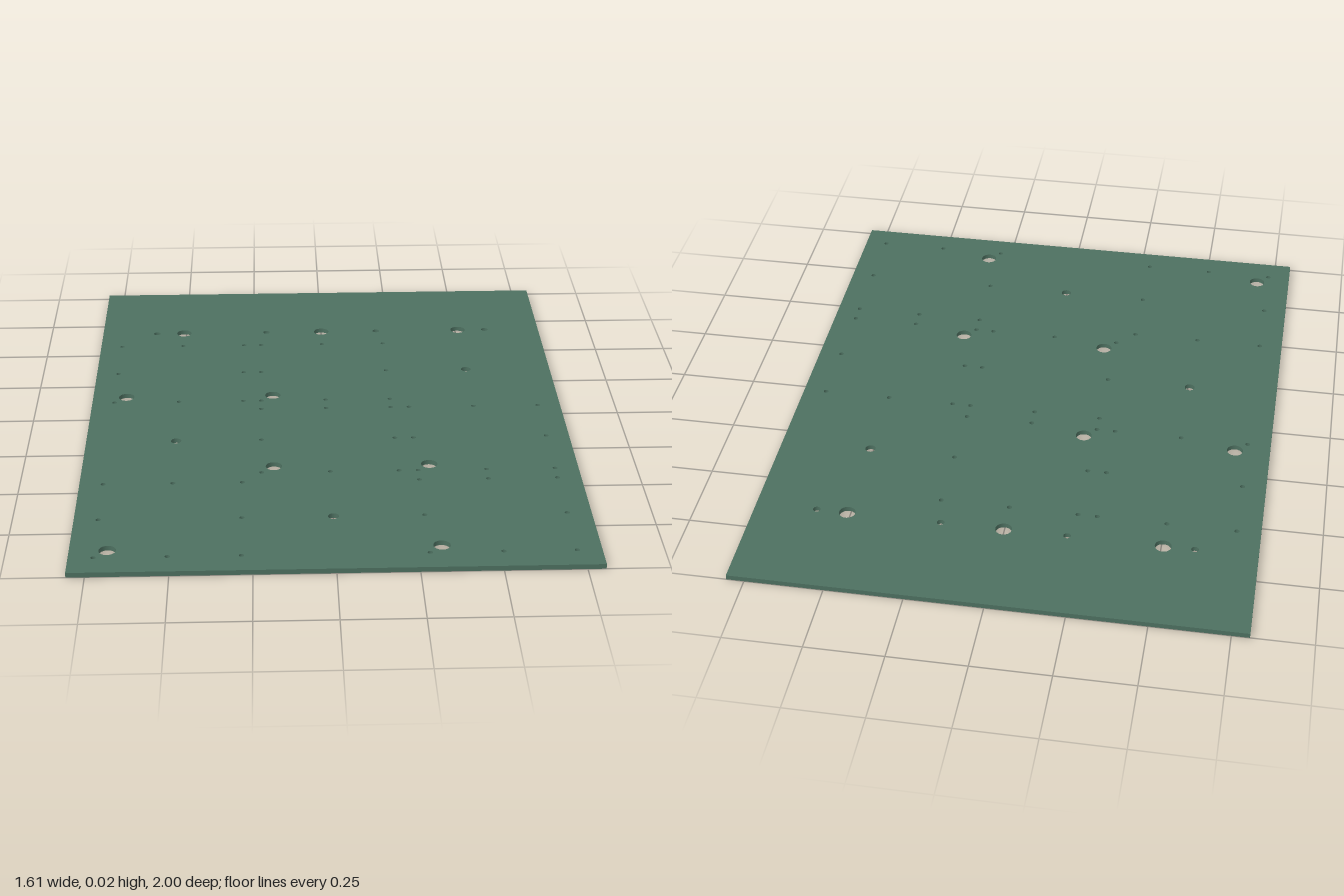
import * as THREE from 'three';

const W = 1.612, L = 2, T = 0.016;
const PITCH = 0.507, ROW_Z = 0.187, STEP = 0.2225;

export function createModel() {
  const group = new THREE.Group();
  group.name = 'drilledPanel';

  // Plate outline, drawn in (x, z)
  const plate = new THREE.Shape([
    new THREE.Vector2(-W / 2, -L / 2), new THREE.Vector2(W / 2, -L / 2),
    new THREE.Vector2(W / 2, L / 2), new THREE.Vector2(-W / 2, L / 2),
  ]);
  const drill = (x, z, r) => {
    const hole = new THREE.Path();
    hole.absarc(x, z, r, 0, Math.PI * 2, true);
    plate.holes.push(hole);
  };

  // 3 x 3 cells: a square of eight screw holes, or one middle-sized hole
  const singleCells = ['1,-1', '-1,0', '0,1'];
  for (let i = -1; i <= 1; i++) {
    for (let j = -1; j <= 1; j++) {
      const cx = i * PITCH, cz = ROW_Z + j * PITCH;
      if (singleCells.includes(`${i},${j}`)) {
        drill(cx, cz, 0.017);
        continue;
      }
      for (let a = -1; a <= 1; a++) {
        for (let b = -1; b <= 1; b++) {
          if (a || b) drill(cx + a * STEP, cz + b * STEP, 0.008);
        }
      }
    }
  }

  // Large cable holes beside the cells
  for (const [x, z] of [[-0.69, -0.137], [-0.183, -0.137], [-0.183, 0.37],
    [0.323, 0.37], [-0.69, 0.876], [0.323, 0.876]]) drill(x, z, 0.0265);

  // Back row: large holes with small holes between and outside them
  for (const x of [-PITCH, 0, PITCH]) drill(x, -0.65, 0.0265);
  for (const x of [-0.607, -0.203, 0.203, 0.607]) drill(x, -0.65, 0.012);

  const geometry = new THREE.ExtrudeGeometry(plate, {
    depth: T, bevelEnabled: false, curveSegments: 24,
  });
  geometry.rotateX(Math.PI / 2).translate(0, T, 0);

  const mesh = new THREE.Mesh(geometry, new THREE.MeshStandardMaterial({ color: 0x4d7060 }));
  mesh.name = 'plate';
  group.add(mesh);
  return group;
}
